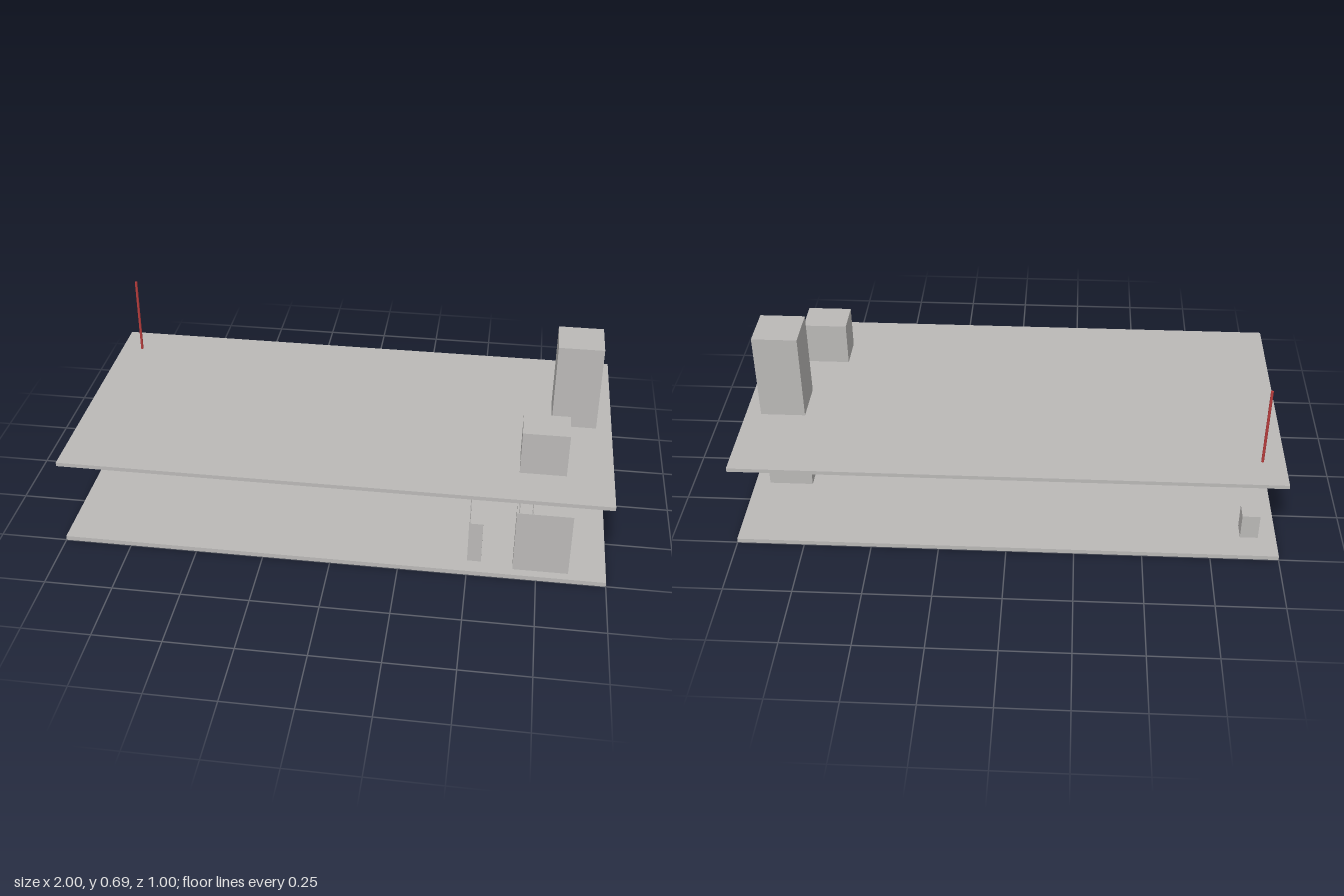
import * as THREE from 'three';

export function createModel() {
  const model = new THREE.Group();
  const mat = (name, color) => {
    const m = new THREE.MeshStandardMaterial({ color });
    m.name = name;
    return m;
  };
  const grey = mat('concreteGrey', 0xbbb9b7);
  const blue = mat('trayBlue', 0x46a0c8);
  const red = mat('pipeRed', 0xb83c3c);

  const add = (name, geometry, material) => {
    const mesh = new THREE.Mesh(geometry, material);
    mesh.name = name;
    model.add(mesh);
    return mesh;
  };
  // Box given by its limits along each axis
  const block = (name, [x0, x1], [y0, y1], [z0, z1], material = grey) =>
    add(name, new THREE.BoxGeometry(x1 - x0, y1 - y0, z1 - z0), material)
      .position.set((x0 + x1) / 2, (y0 + y1) / 2, (z0 + z1) / 2);
  // Upright round rod
  const rod = (name, x, z, [y0, y1], radius, material) =>
    add(name, new THREE.CylinderGeometry(radius, radius, y1 - y0, 10), material)
      .position.set(x, (y0 + y1) / 2, z);

  // Two floor slabs
  block('lowerFloor', [-1, 1], [0, 0.017], [-0.5, 0.5]);
  block('upperFloor', [-1, 1], [0.335, 0.35], [-0.5, 0.5]);

  // Shaft through both floors, and the cabinets
  block('shaft', [0.775, 0.942], [0.017, 0.685], [-0.167, 0]);
  block('upperCabinet', [0.665, 0.832], [0.35, 0.517], [0.2, 0.333]);
  block('lowerCabinet', [0.665, 0.865], [0.017, 0.268], [0.4, 0.467]);
  block('smallCabinet', [-0.933, -0.867], [0.017, 0.118], [-0.4, -0.333]);
  block('wallPanel', [0.5, 0.55], [0.052, 0.218], [0.467, 0.483]);

  // Conduits rising to the upper floor
  rod('panelConduit', 0.503, 0.481, [0.218, 0.335], 0.0015, grey);
  for (const x of [0.673, 0.72])
    rod('cabinetConduit', x, 0.464, [0.268, 0.335], 0.0015, grey);

  // Cable tray under the upper floor, with its front lip
  block('cableTray', [-0.933, 0.775], [0.285, 0.318], [-0.333, -0.267], blue);
  block('trayLip', [-0.933, 0.775], [0.285, 0.307], [-0.267, -0.26], blue);

  // Red cable along the tray and the riser at its end
  const cable = add('cable', new THREE.CylinderGeometry(0.004, 0.004, 1.708, 10), red);
  cable.rotation.z = Math.PI / 2;
  cable.position.set(-0.079, 0.323, -0.331);
  rod('riser', -0.918, -0.366, [0.326, 0.658], 0.005, red);

  return model;
}
